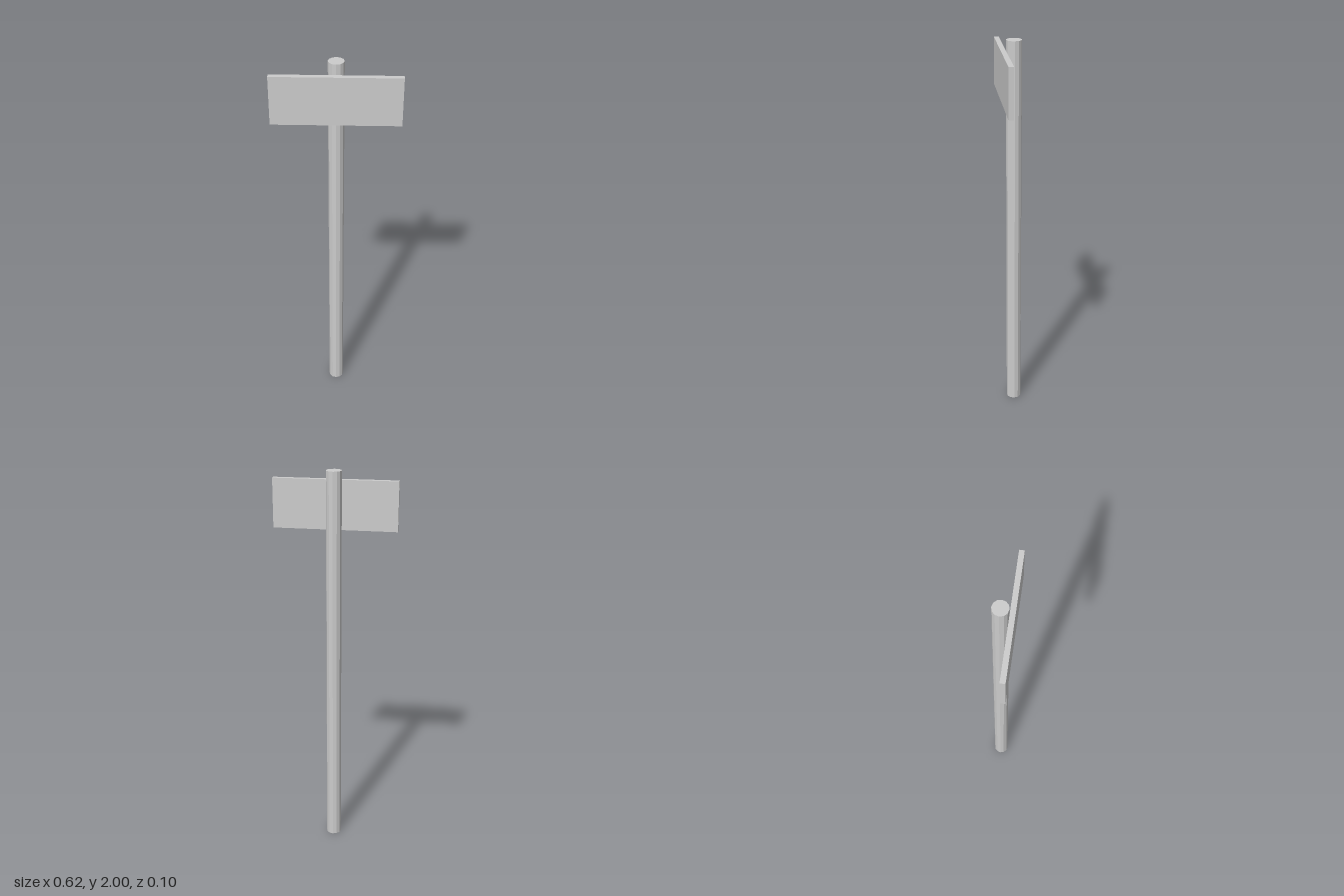
import * as THREE from 'three';

export function createModel() {
  const group = new THREE.Group();
  const material = new THREE.MeshStandardMaterial({ color: 0xcccccc, flatShading: true, side: THREE.DoubleSide });

  const add = (name, geometry, x, y, z) => {
    const mesh = new THREE.Mesh(geometry, material);
    mesh.name = name;
    mesh.position.set(x, y, z);
    group.add(mesh);
  };

  const radius = 0.0385, poleZ = -0.0125;

  // Twelve-sided pole, open where it meets the ground
  add('pole', new THREE.CylinderGeometry(radius, radius, 2, 12, 1, true), 0, 1, poleZ);

  // Flat cap closing the top of the pole, turned to match its corners
  const cap = new THREE.CircleGeometry(radius, 12).rotateX(-Math.PI / 2);
  add('poleCap', cap, 0, 2, poleZ);

  // Sign board fixed to the front of the pole
  add('signBoard', new THREE.BoxGeometry(0.616, 0.245, 0.025), 0, 1.826, 0.0385);

  return group;
}
